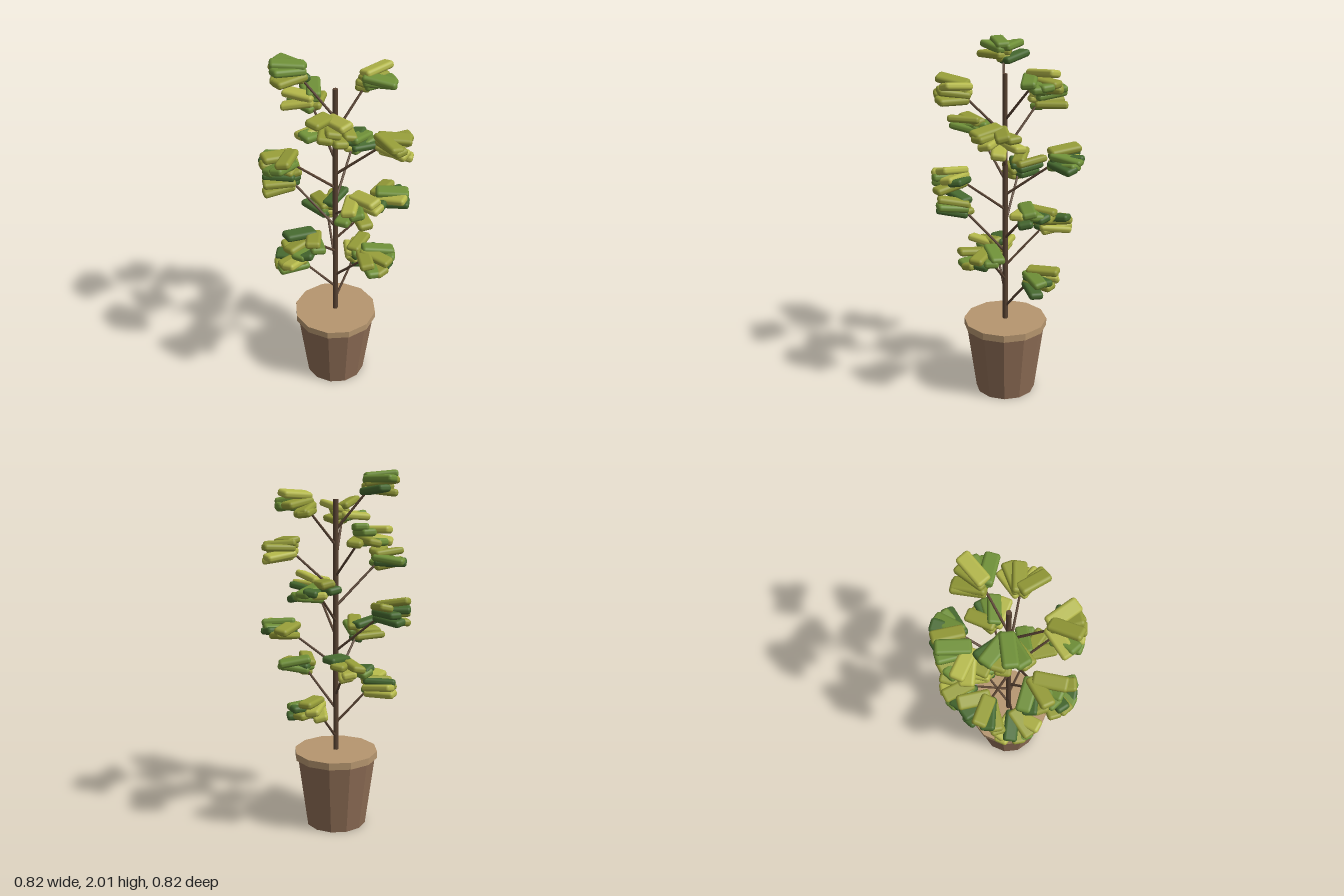
import * as THREE from 'three';
import { RoundedBoxGeometry } from 'three/addons/geometries/RoundedBoxGeometry.js';

const mat = (color, flatShading = false) => {
  const m = new THREE.MeshStandardMaterial({ color });
  m.flatShading = flatShading;
  return m;
};

// Small seeded generator for leaf variation, returns -1..1
function seeded(seed) {
  let s = seed;
  return () => {
    s = (s * 16807) % 2147483647;
    return (s / 2147483647) * 2 - 1;
  };
}

// Tapered rod between two points
function rod(a, b, r0, r1, material, name) {
  const dir = b.clone().sub(a);
  const mesh = new THREE.Mesh(new THREE.CylinderGeometry(r1, r0, dir.length(), 8), material);
  mesh.position.copy(a).addScaledVector(dir, 0.5);
  mesh.quaternion.setFromUnitVectors(new THREE.Vector3(0, 1, 0), dir.normalize());
  mesh.name = name;
  return mesh;
}

export function createModel() {
  const plant = new THREE.Group();
  plant.name = 'pottedTree';
  const X = -0.007, Z = 0.007; // stem axis

  // Twelve-sided tapered pot with a closed rim
  const pot = new THREE.Mesh(new THREE.CylinderGeometry(0.225, 0.17, 0.405, 12), mat(0x8f6e56, true));
  pot.position.set(X, 0.2025, Z);
  pot.name = 'pot';
  const rim = new THREE.Mesh(new THREE.CylinderGeometry(0.237, 0.237, 0.04, 12), mat(0xb6966f, true));
  rim.position.set(X, 0.42, Z);
  rim.name = 'potRim';
  plant.add(pot, rim);

  // Trunk
  const bark = mat(0x5a4433);
  plant.add(rod(new THREE.Vector3(X, 0.42, Z), new THREE.Vector3(X, 1.855, Z), 0.015, 0.014, bark, 'trunk'));

  // Branches climb the trunk in a golden-angle spiral, longest in the middle
  const greens = [0x46692f, 0x6f9038, 0x959c38, 0xb4b84a].map((c) => mat(c));
  const leafGeo = new RoundedBoxGeometry(0.182, 0.04, 0.08, 2, 0.017);
  leafGeo.translate(0.086, 0, 0); // hinge at the stalk end
  const rand = seeded(31337);
  const leaves = 7;
  // Height of each leaf cluster, bottom to top
  const heights = [0.735, 0.812, 0.907, 0.99, 1.08, 1.163, 1.26, 1.33, 1.4, 1.515, 1.585, 1.685, 1.757, 1.845, 1.935];

  heights.forEach((midY, i) => {
    const t = i / (heights.length - 1);
    const angle = THREE.MathUtils.degToRad(137.5 * i);
    const reach = 0.142 + 0.015 * t + 0.103 * Math.sin(Math.PI * t);
    const baseY = 0.515 + 0.084 * i;
    const at = (r, y) => new THREE.Vector3(X + r * Math.cos(angle), y, Z - r * Math.sin(angle));
    plant.add(rod(at(0, baseY), at(reach + 0.04, midY), 0.0075, 0.006, bark, 'branch'));

    // Tilted fan of leaves stacked around the branch tip
    const cluster = new THREE.Group();
    cluster.name = 'leafCluster';
    cluster.position.copy(at(reach, midY));
    cluster.rotation.y = angle;
    for (let k = 0; k < leaves; k++) {
      const leaf = new THREE.Mesh(leafGeo, greens[Math.floor((rand() + 1) * 2)]);
      const fan = ((k * 3 + i) % leaves) / (leaves - 1) * 2 - 1;
      leaf.position.set(0.008 * rand(), -0.04 + (0.08 * k) / (leaves - 1), 0);
      leaf.rotation.set(0.25 * rand(), fan * 0.8 + 0.1 * rand(), 0.2 * rand(), 'YZX');
      leaf.name = 'leaf';
      cluster.add(leaf);
    }
    plant.add(cluster);
  });
  return plant;
}
